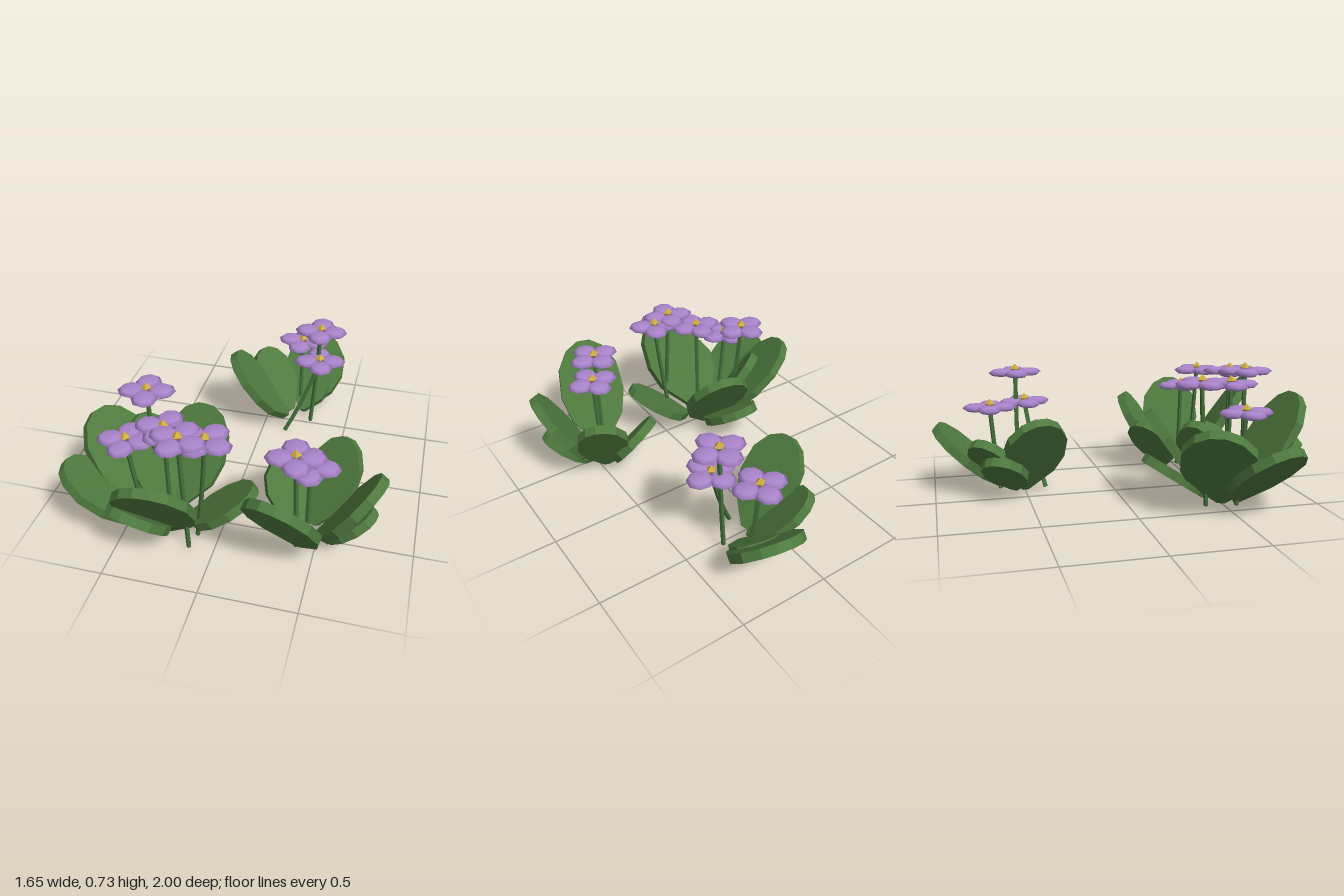
import * as THREE from 'three';

const mat = (name, color, flatShading = true) => {
  const m = new THREE.MeshStandardMaterial({ color, flatShading });
  m.name = name;
  return m;
};

// Leaves are listed by tip, with a width where it is unusual.
// Flowers are listed by head, with the x, z of the stem base where it stands apart.
const CLUMPS = [
  {
    name: 'largeClump',
    root: [-0.28, 0.54],
    leaves: [
      [-0.25, 0.56, 0.97], [-0.42, 0.34, 0.91, 0.31], [-0.8, 0.38, 0.69], [-0.76, 0.48, 0.31],
      [-0.33, 0.27, 0.08], [-0.2, 0.49, 0.13], [0.18, 0.32, 0.58], [-0.51, 0.48, 0.28, 0.28],
    ],
    flowers: [
      [-0.45, 0.675, 0.34], [-0.49, 0.52, 0.57], [-0.28, 0.635, 0.57],
      [-0.16, 0.685, 0.7, -0.13, 0.72], [-0.04, 0.67, 0.66],
    ],
  },
  {
    name: 'leftClump',
    root: [0.44, 0.48],
    leaves: [
      [0.32, 0.56, 0.92, 0.38], [0.8, 0.5, 0.57], [0.59, 0.45, 0.19, 0.29],
      [0.27, 0.32, 0.23, 0.31], [0.78, 0.27, 0.53],
    ],
    flowers: [[0.39, 0.62, 0.62], [0.45, 0.515, 0.54]],
  },
  {
    name: 'backClump',
    root: [0.2, -0.52],
    leaves: [
      [0.26, 0.37, -0.98, 0.38], [-0.2, 0.46, -0.44], [-0.15, 0.25, -0.68],
      [-0.09, 0.34, -0.76, 0.27], [0.26, 0.25, -0.84, 0.25],
    ],
    flowers: [[0.32, 0.48, -0.47, 0.14, -0.38], [0.31, 0.655, -0.52], [0.18, 0.48, -0.68]],
  },
];

const lerp = THREE.MathUtils.lerp;

// Half outline of a leaf: distance along it, share of the half width
const LEAF_PROFILE = [[0, 0.1], [0.27, 0.8], [0.5, 1], [0.76, 0.92], [0.93, 0.58], [1, 0.2]];

function makeLeaf([rx, rz], [x, y, z, width], material) {
  const base = new THREE.Vector3(lerp(rx, x, 0.2), 0.025, lerp(rz, z, 0.2));
  const along = new THREE.Vector3(x, y, z).sub(base);
  const length = along.length();
  const halfWidth = (width ?? length * 0.64) / 2;
  along.normalize();
  const half = LEAF_PROFILE.map(([t, w]) => new THREE.Vector2(w * halfWidth, t * length));
  const mirrored = half.map((p) => new THREE.Vector2(-p.x, p.y)).reverse();
  const depth = 0.05;
  const geo = new THREE.ExtrudeGeometry(new THREE.Shape([...half, ...mirrored]), {
    depth, bevelEnabled: false,
  });
  geo.translate(0, 0, -depth / 2);

  // Lay the blade along its direction with the upper face turned up
  const side = new THREE.Vector3().crossVectors(along, new THREE.Vector3(0, 1, 0)).normalize();
  const normal = new THREE.Vector3().crossVectors(side, along);
  const leaf = new THREE.Mesh(geo, material);
  leaf.name = 'leaf';
  leaf.quaternion.setFromRotationMatrix(new THREE.Matrix4().makeBasis(side, along, normal));
  leaf.position.copy(base);
  return leaf;
}

function makeFlower([rx, rz], [x, y, z, bx = lerp(rx, x, 0.7), bz = lerp(rz, z, 0.7)], turn, mats) {
  const flower = new THREE.Group();
  flower.name = 'flower';

  // Curved stem
  const curve = new THREE.QuadraticBezierCurve3(
    new THREE.Vector3(bx, 0.005, bz),
    new THREE.Vector3(lerp(bx, x, 0.65), y * 0.5, lerp(bz, z, 0.65)),
    new THREE.Vector3(x, y, z),
  );
  const stem = new THREE.Mesh(new THREE.TubeGeometry(curve, 5, 0.013, 5), mats.stem);
  stem.name = 'stem';
  flower.add(stem);

  // Four plump petals that meet around a pointed centre
  const head = new THREE.Group();
  head.name = 'flowerHead';
  head.position.set(x, y, z);
  head.rotation.y = turn;
  for (let i = 0; i < 4; i++) {
    const geo = new THREE.SphereGeometry(1, 8, 4);
    geo.scale(0.074, 0.024, 0.07);
    geo.translate(0.077, 0, 0);
    geo.rotateY(i * Math.PI / 2);
    const petal = new THREE.Mesh(geo, mats.petal);
    petal.name = 'petal';
    head.add(petal);
  }
  const centre = new THREE.Mesh(new THREE.OctahedronGeometry(0.029), mats.centre);
  centre.name = 'flowerCentre';
  centre.position.y = 0.02;
  head.add(centre);
  flower.add(head);
  return flower;
}

export function createModel() {
  const mats = {
    leaf: mat('leafGreen', 0x4f7a3f),
    stem: mat('stemGreen', 0x44703a),
    petal: mat('petalPurple', 0xaa84cb, false),
    centre: mat('centreGold', 0xd0ae44),
  };
  const model = new THREE.Group();
  model.name = 'flowerPatch';
  for (const { name, root, leaves, flowers } of CLUMPS) {
    const clump = new THREE.Group();
    clump.name = name;
    leaves.forEach((leaf) => clump.add(makeLeaf(root, leaf, mats.leaf)));
    flowers.forEach((f, i) => clump.add(makeFlower(root, f, 0.2 - i * 0.15, mats)));
    model.add(clump);
  }
  return model;
}
